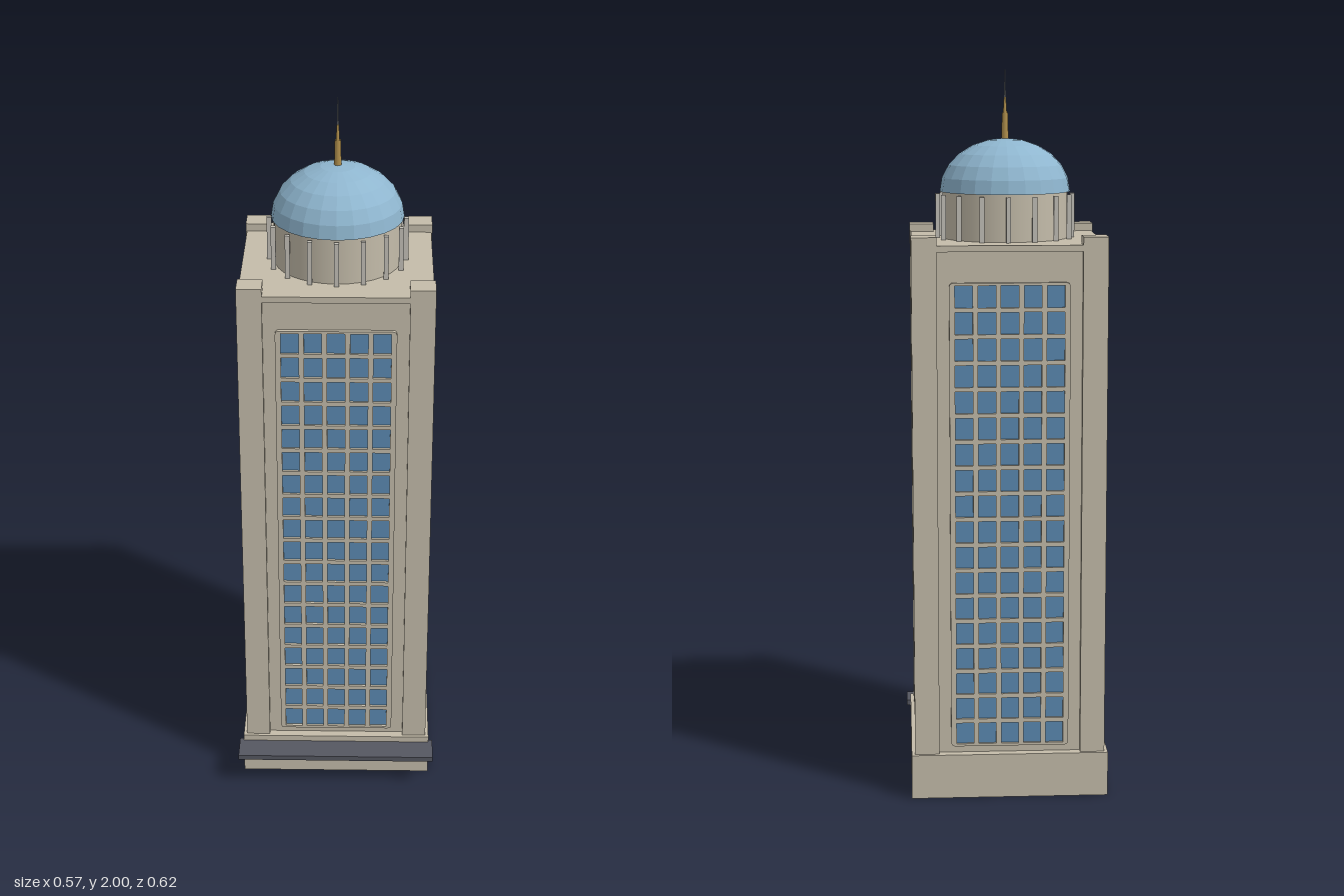
import * as THREE from 'three';

const mat = (name, color, extra = {}) => {
  const m = new THREE.MeshStandardMaterial({ color, ...extra });
  m.name = name;
  return m;
};

export function createModel() {
  const stone = mat('stone', 0xc4bcaa);
  const paleStone = mat('pale stone', 0xc3c0b8);
  const glass = mat('window glass', 0x5b8ab2);
  const domeBlue = mat('dome blue', 0x8fb6cf, { flatShading: true });
  const slate = mat('canopy slate', 0x555761);
  const gold = mat('spire gold', 0xb08f4c);
  const steel = mat('needle steel', 0x80848a);

  const model = new THREE.Group();
  model.name = 'tower';
  const tower = new THREE.Group();
  tower.name = 'building';
  tower.position.z = -0.038;
  model.add(tower);

  const add = (parent, name, geo, material, x = 0, y = 0, z = 0) => {
    const mesh = new THREE.Mesh(geo, material);
    mesh.name = name;
    mesh.position.set(x, y, z);
    parent.add(mesh);
    return mesh;
  };
  // Box standing between two heights
  const block = (parent, name, w, d, y0, y1, material, x = 0, z = 0) =>
    add(parent, name, new THREE.BoxGeometry(w, y1 - y0, d), material, x, (y0 + y1) / 2, z);

  // Plinth, recessed walls, roof slab and corner pillars
  block(tower, 'plinth', 0.547, 0.547, 0, 0.125, stone);
  block(tower, 'walls', 0.496, 0.496, 0.125, 1.523, stone);
  block(tower, 'roofSlab', 0.522, 0.522, 1.523, 1.54, stone);
  for (const x of [-1, 1]) for (const z of [-1, 1])
    block(tower, 'cornerPillar', 0.068, 0.068, 0.125, 1.562, stone, x * 0.23, z * 0.23);

  // Rounded window frame pierced by a grid of openings
  const cols = 5, rows = 18, pitchX = 0.062, pitchY = 0.0718;
  const paneW = 0.048, paneH = 0.06, halfW = 0.163, y0 = 0.145, y1 = 1.44, r = 0.012;
  const frame = new THREE.Shape();
  frame.moveTo(-halfW + r, y0);
  frame.lineTo(halfW - r, y0);
  frame.quadraticCurveTo(halfW, y0, halfW, y0 + r);
  frame.lineTo(halfW, y1 - r);
  frame.quadraticCurveTo(halfW, y1, halfW - r, y1);
  frame.lineTo(-halfW + r, y1);
  frame.quadraticCurveTo(-halfW, y1, -halfW, y1 - r);
  frame.lineTo(-halfW, y0 + r);
  frame.quadraticCurveTo(-halfW, y0, -halfW + r, y0);
  for (let i = 0; i < cols; i++) for (let j = 0; j < rows; j++) {
    const x = (i - (cols - 1) / 2) * pitchX - paneW / 2;
    const y = (y0 + y1) / 2 + (j - (rows - 1) / 2) * pitchY - paneH / 2;
    const hole = new THREE.Path();
    hole.moveTo(x, y);
    hole.lineTo(x, y + paneH);
    hole.lineTo(x + paneW, y + paneH);
    hole.lineTo(x + paneW, y);
    hole.closePath();
    frame.holes.push(hole);
  }
  const frameGeo = new THREE.ExtrudeGeometry(frame, { depth: 0.012, bevelEnabled: false, curveSegments: 4 });
  const glassGeo = new THREE.BoxGeometry(0.314, y1 - y0 - 0.012, 0.006);
  for (let i = 0; i < 4; i++) {
    const side = new THREE.Group();
    side.name = 'windowWall';
    side.rotation.y = i * Math.PI / 2;
    add(side, 'windowFrame', frameGeo, stone, 0, 0, 0.247);
    add(side, 'windowGlass', glassGeo, glass, 0, (y0 + y1) / 2, 0.248);
    tower.add(side);
  }

  // Drum ringed by slim square columns
  add(tower, 'drum', new THREE.CylinderGeometry(0.174, 0.174, 0.13, 32), stone, 0, 1.605, 0);
  for (let i = 0; i < 16; i++) {
    const a = i * Math.PI / 8;
    block(tower, 'drumColumn', 0.013, 0.013, 1.54, 1.662, paleStone, Math.sin(a) * 0.187, Math.cos(a) * 0.187);
  }

  // Faceted, slightly flattened dome with a closed underside
  const dome = add(tower, 'dome',
    new THREE.SphereGeometry(0.181, 24, 6, 0, Math.PI * 2, 0, Math.PI / 2), domeBlue, 0, 1.668, 0);
  dome.scale.y = 0.806;
  const underside = add(tower, 'domeUnderside', new THREE.CircleGeometry(0.181, 24), domeBlue, 0, 1.668, 0);
  underside.rotation.x = Math.PI / 2;

  // Stepped spire and needle
  add(tower, 'spireBase', new THREE.CylinderGeometry(0.008, 0.01, 0.075, 12), gold, 0, 1.845, 0);
  add(tower, 'spireShaft', new THREE.CylinderGeometry(0.003, 0.006, 0.05, 10), gold, 0, 1.9, 0);
  add(tower, 'spireNeedle', new THREE.CylinderGeometry(0.001, 0.003, 0.085, 8), steel, 0, 1.9575, 0);

  // Entrance canopy on the front
  block(model, 'canopy', 0.57, 0.084, 0.092, 0.107, slate, 0, 0.268);
  return model;
}
